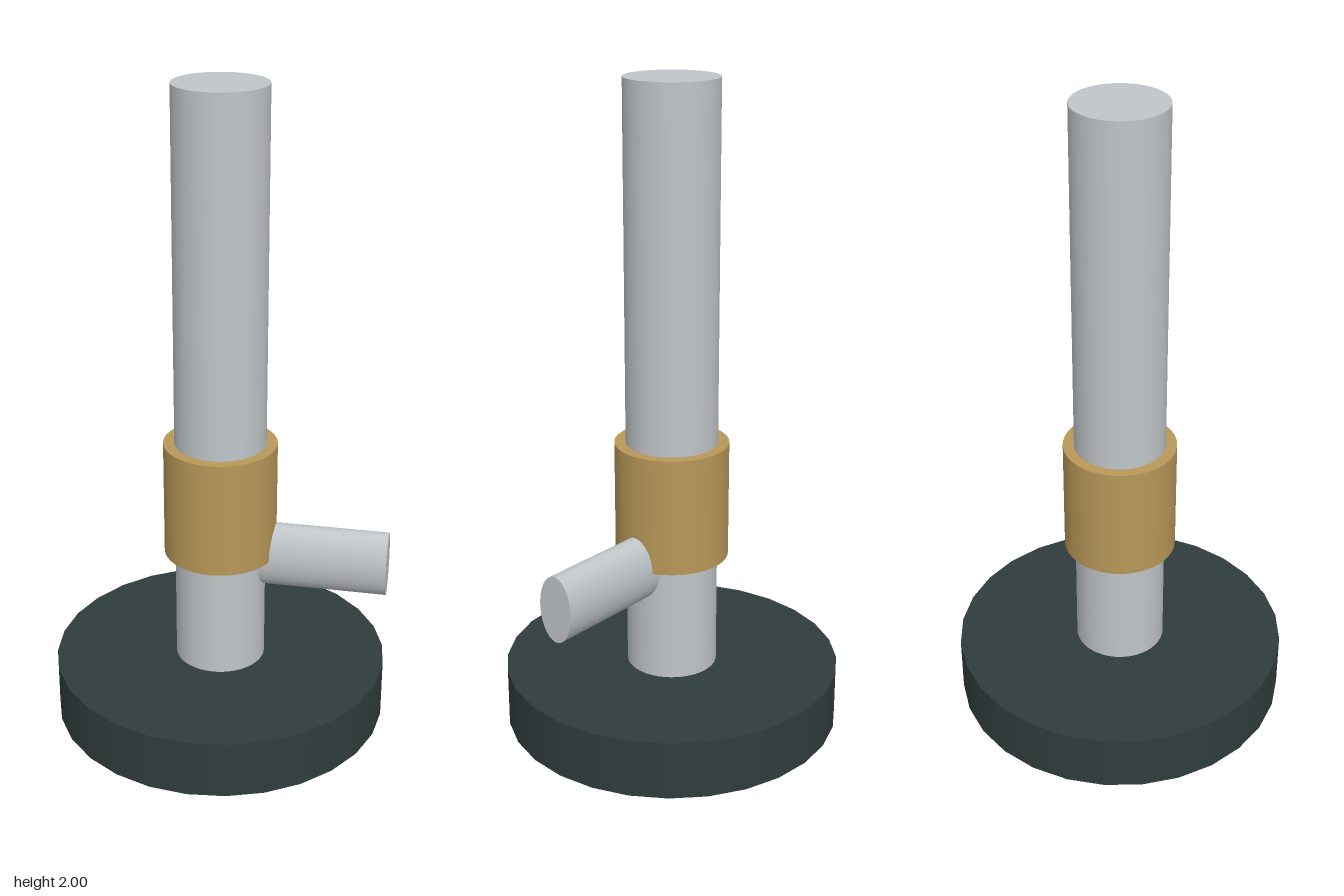
import * as THREE from 'three';

export function createModel() {
  const group = new THREE.Group();
  const steel = new THREE.MeshStandardMaterial({ color: 0xc0c5c9 });
  steel.name = 'steel';
  const brass = new THREE.MeshStandardMaterial({ color: 0xb89758 });
  brass.name = 'brass';
  const iron = new THREE.MeshStandardMaterial({ color: 0x2f3d3c });
  iron.name = 'dark iron';

  const add = (name, geometry, material) => {
    const mesh = new THREE.Mesh(geometry, material);
    mesh.name = name;
    group.add(mesh);
    return mesh;
  };

  // Upright cylinder spanning y0 to y1
  const upright = (name, radius, y0, y1, sides, material) => {
    const geometry = new THREE.CylinderGeometry(radius, radius, y1 - y0, sides);
    add(name, geometry.translate(0, (y0 + y1) / 2, 0), material);
  };

  upright('base', 0.522, 0, 0.183, 28, iron);
  upright('barrel', 0.14, 0.17, 2, 48, steel);
  upright('collar', 0.174, 0.548, 0.913, 48, brass);

  // Sideways inlet with an oval section, starting inside the barrel
  const inletStart = 0.08, inletEnd = 0.522;
  const inlet = new THREE.CylinderGeometry(1, 1, inletEnd - inletStart, 40);
  inlet.rotateZ(-Math.PI / 2).scale(1, 0.104, 0.06);
  inlet.translate((inletStart + inletEnd) / 2, 0.548, 0);
  add('inlet', inlet, steel);

  return group;
}
